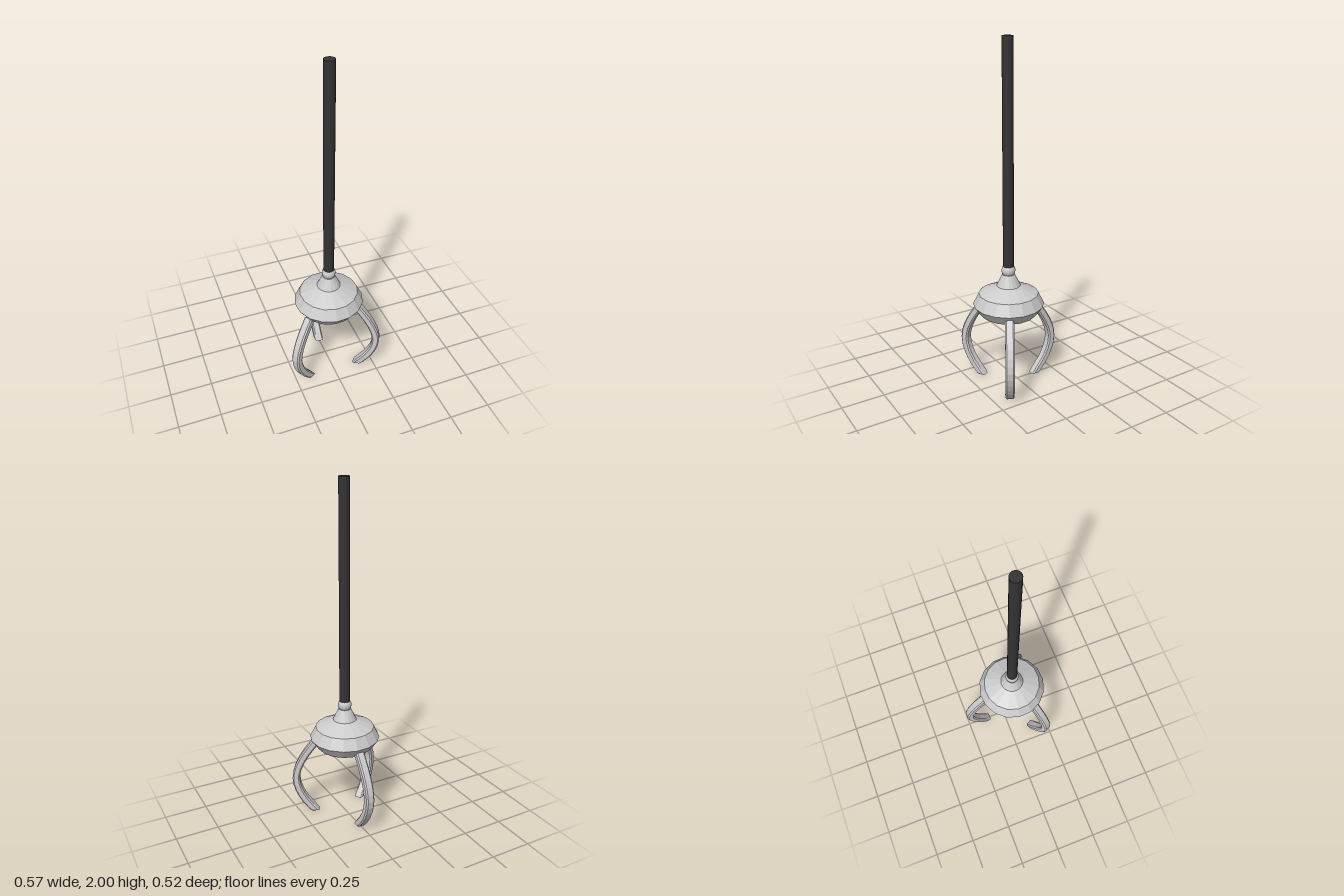
import * as THREE from 'three';

const V = (x, y) => new THREE.Vector2(x, y);

export function createModel() {
  const model = new THREE.Group();
  const grey = new THREE.MeshStandardMaterial({ color: 0xcccccc, flatShading: true });
  const smoothGrey = new THREE.MeshStandardMaterial({ color: 0xcccccc });
  const dark = new THREE.MeshStandardMaterial({ color: 0x333333 });

  // everything turns around one vertical axis, a little in front of the centre
  const grabber = new THREE.Group();
  grabber.name = 'grabber';
  grabber.position.z = 0.057;
  model.add(grabber);

  const add = (name, geometry, material, y = 0) => {
    const mesh = new THREE.Mesh(geometry, material);
    mesh.name = name;
    mesh.position.y = y;
    grabber.add(mesh);
    return mesh;
  };

  // faceted hub with a conical neck
  const hubProfile = [
    V(0, 0.447), V(0.16, 0.447), V(0.205, 0.508), V(0.172, 0.574),
    V(0.069, 0.62), V(0.037, 0.688), V(0, 0.688),
  ];
  add('hub', new THREE.LatheGeometry(hubProfile, 16, Math.PI / 12), grey);

  // ball joint and pole
  add('ballJoint', new THREE.SphereGeometry(0.04, 16, 12), smoothGrey, 0.711);
  add('pole', new THREE.CylinderGeometry(0.031, 0.031, 1.265, 20), dark, 1.3675);

  // claw: a curved bar with chamfered edges, drawn in (radius, height)
  const bevel = 0.008;
  const halfThick = 0.022 - bevel;
  const flat = 0.052 - 2 * bevel;
  const spine = new THREE.SplineCurve([
    V(0.178, 0.468), V(0.237, 0.385), V(0.28, 0.3), V(0.295, 0.225),
    V(0.28, 0.15), V(0.24, 0.075), V(0.184, bevel),
  ]);
  const steps = 12;
  const outer = [], inner = [];
  for (let i = 0; i <= steps; i++) {
    const p = spine.getPoint(i / steps);
    const t = spine.getTangent(i / steps);
    // the foot is cut level, all other sections are square to the spine
    const n = i === steps ? V(1.15, 0) : V(-t.y, t.x);
    outer.push(p.clone().addScaledVector(n, halfThick));
    inner.unshift(p.clone().addScaledVector(n, -halfThick));
  }
  const clawGeometry = new THREE.ExtrudeGeometry(new THREE.Shape([...outer, ...inner]), {
    depth: flat, bevelEnabled: true, bevelSegments: 1, bevelSize: bevel, bevelThickness: bevel,
  });
  clawGeometry.translate(0, 0, -flat / 2);

  // three claws, the first pointing back
  for (let i = 0; i < 3; i++) {
    const claw = add('claw' + (i + 1), clawGeometry, grey);
    claw.rotation.y = Math.PI / 2 + (i * Math.PI * 2) / 3;
  }
  return model;
}
